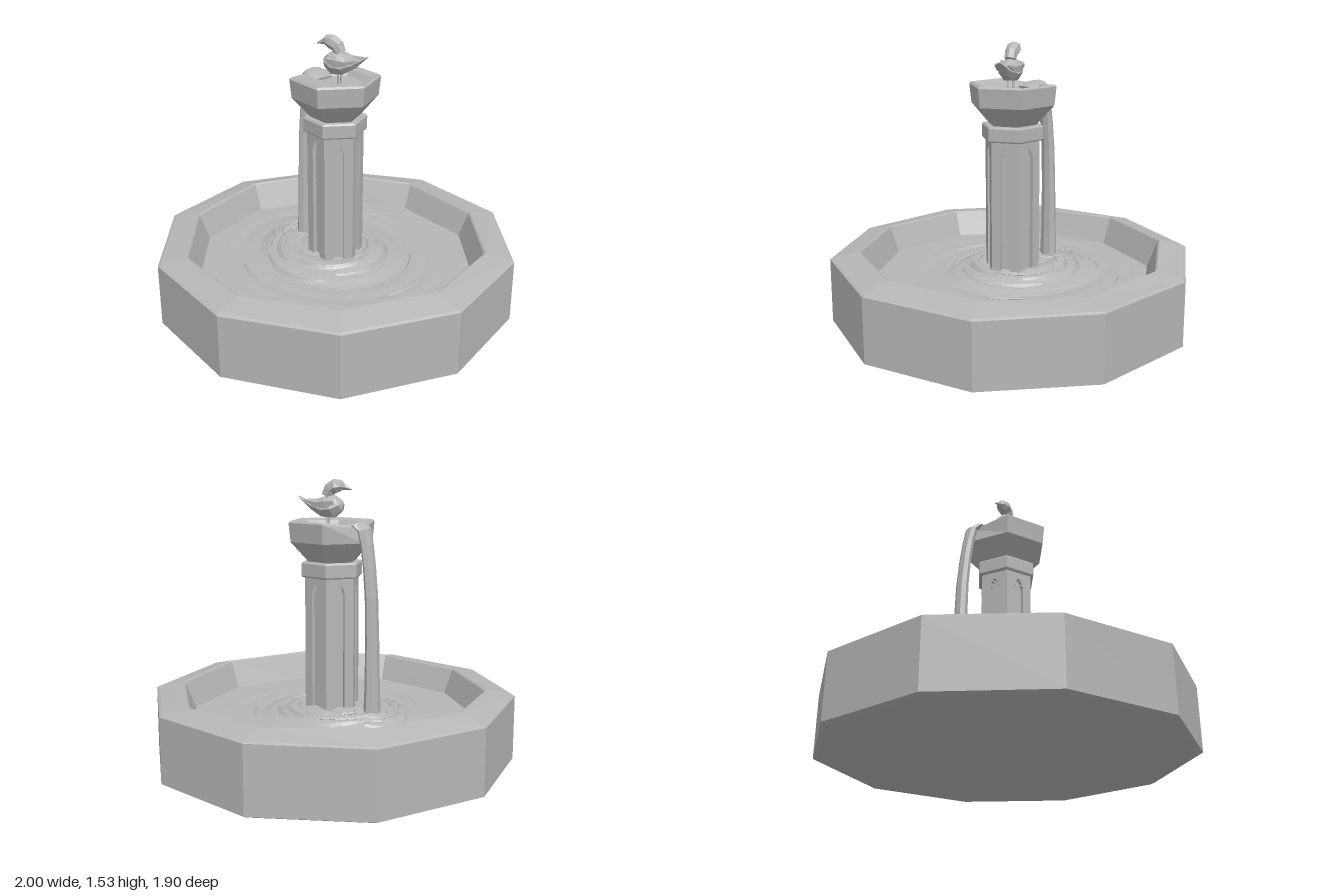
import * as THREE from 'three';

const stone = new THREE.MeshStandardMaterial({ color: 0xb6b6b6 });
stone.name = 'grey stone';

// Facet a geometry and turn it into a named mesh
function part(name, geo, parent) {
  const g = geo.index ? geo.toNonIndexed() : geo;
  g.computeVertexNormals();
  const m = new THREE.Mesh(g, stone);
  m.name = name;
  parent.add(m);
  return m;
}

// Join equal-sized rings of points into a skin
function loft(rings, caps = true) {
  const n = rings[0].length, pos = [], idx = [];
  rings.flat().forEach(p => pos.push(p.x, p.y, p.z));
  for (let i = 0; i < rings.length - 1; i++) {
    for (let j = 0; j < n; j++) {
      const k = (j + 1) % n, a = i * n, b = a + n;
      idx.push(a + j, a + k, b + k, a + j, b + k, b + j);
    }
  }
  if (caps) {
    const e = (rings.length - 1) * n;
    for (let j = 1; j < n - 1; j++) idx.push(0, j + 1, j, e, e + j, e + j + 1);
  }
  const g = new THREE.BufferGeometry();
  g.setAttribute('position', new THREE.Float32BufferAttribute(pos, 3));
  g.setIndex(idx);
  return g;
}

// Tapering body along a spine in the xy plane: [x, y, half thickness, half width]
function spineBody(spine, sides) {
  return loft(spine.map(([x, y, t, w], i) => {
    const p = spine[Math.max(0, i - 1)], q = spine[Math.min(spine.length - 1, i + 1)];
    const d = new THREE.Vector2(q[0] - p[0], q[1] - p[1]).normalize();
    return Array.from({ length: sides }, (_, j) => {
      const a = (j / sides) * Math.PI * 2, c = Math.cos(a) * t;
      return new THREE.Vector3(x - d.y * c, y + d.x * c, Math.sin(a) * w);
    });
  }));
}

// Faceted solid of revolution with a corner on the x axis
function turned(profile, sides) {
  const g = new THREE.LatheGeometry(profile.map(p => new THREE.Vector2(...p)), sides);
  return g.rotateY(Math.PI / 2);
}

function movePoints(geo, rule) {
  const p = geo.attributes.position, v = new THREE.Vector3();
  for (let i = 0; i < p.count; i++) {
    rule(v.fromBufferAttribute(p, i));
    p.setXYZ(i, v.x, v.y, v.z);
  }
  return geo;
}

// Hexagon outline with a slot of the given width in every side
function flutedHexagon(radius, slot, depth) {
  const pts = [], apothem = radius * Math.cos(Math.PI / 6);
  for (let i = 0; i < 6; i++) {
    const a = (i * Math.PI) / 3, m = a + Math.PI / 6;
    const at = (r, s) => new THREE.Vector2(r * Math.cos(m) - s * Math.sin(m), r * Math.sin(m) + s * Math.cos(m));
    pts.push(new THREE.Vector2(radius * Math.cos(a), radius * Math.sin(a)));
    if (slot) {
      pts.push(at(apothem, -slot / 2), at(apothem - depth, -slot / 2),
        at(apothem - depth, slot / 2), at(apothem, slot / 2));
    }
  }
  return new THREE.Shape(pts);
}

// Water level, swelling toward the column and the falling stream
function waterLevel(x, z) {
  const e = Math.hypot((x + 0.08) / 0.42, z / 0.36), a = Math.atan2(z, x + 0.08);
  const swell = 0.05 * (1 - THREE.MathUtils.smoothstep(e, 0.55, 1.2));
  const wave = 0.007 * Math.sin(e * 21 + a) * Math.max(0, 1 - e / 1.9);
  return 0.25 + swell + wave;
}

export function createModel() {
  const root = new THREE.Group();
  root.name = 'fountain';

  // Ten-sided basin with a slightly worn rim
  const basin = turned([[0, 0], [0.975, 0], [1, 0.012], [0.999, 0.362], [0.985, 0.37],
    [0.845, 0.4], [0.835, 0.393], [0.765, 0.22]], 10);
  movePoints(basin, v => {
    const a = Math.atan2(v.z, v.x);
    if (v.y > 0.38) v.y += 0.009 * Math.sin(a * 2 + 0.8);
    else if (v.y > 0.3) v.y += 0.004 * Math.sin(a * 3);
  });
  part('basin', basin, root);

  // Rippled pool
  const rings = [];
  for (let i = 0; i <= 26; i++) {
    const t = 0.03 + 0.97 * (i / 26);
    rings.push(Array.from({ length: 40 }, (_, j) => {
      const a = (j / 40) * Math.PI * 2, step = Math.PI / 5;
      const edge = 0.785 * Math.cos(step / 2) / Math.cos((a % step) - step / 2);
      const x = -0.08 * (1 - t) + Math.cos(a) * edge * t, z = Math.sin(a) * edge * t;
      return new THREE.Vector3(x, waterLevel(x, z), z);
    }));
  }
  part('poolWater', loft(rings, false), root);

  // Broken crescent ripples: [centre x, radius, start angle, arc]
  const ripples = new THREE.Group();
  ripples.name = 'ripples';
  root.add(ripples);
  const arcs = [[-0.28, 0.09, 0.3, 4.8], [-0.28, 0.14, 1.2, 3.6], [-0.28, 0.19, 2.1, 2.2]];
  for (let i = 0; i < 16; i++) arcs.push([-0.04, 0.2 + 0.022 * (i % 8) + 0.012 * Math.floor(i / 8), i * 2.4, 0.8 + 0.5 * ((i * 7) % 3)]);
  for (let i = 0; i < 5; i++) arcs.push([-0.02, 0.44 + 0.035 * i, i * 1.9 + 0.5, 0.4]);
  arcs.forEach(([cx, r, start, arc]) => {
    const g = new THREE.TorusGeometry(r, 0.009, 4, 10, arc).rotateX(-Math.PI / 2).rotateY(start);
    movePoints(g, v => {
      v.x += cx;
      v.y = v.y * 0.8 + waterLevel(v.x, v.z) + 0.001;
    });
    part('ripple', g, ripples);
  });

  // Fluted column, the slots narrowing to an arch: [bottom, top, slot width]
  const column = new THREE.Group();
  column.name = 'column';
  root.add(column);
  [[0.2, 0.93, 0.054], [0.93, 0.955, 0.038], [0.955, 0.97, 0.02], [0.97, 1.015, 0]].forEach(([y0, y1, slot]) => {
    const g = new THREE.ExtrudeGeometry(flutedHexagon(0.153, slot, 0.022), { depth: y1 - y0, bevelEnabled: false });
    part('columnShaft', g.rotateX(-Math.PI / 2).translate(0, y0, 0), column);
  });
  part('collar', turned([[0, 1.01], [0.166, 1.01], [0.172, 1.018], [0.172, 1.084], [0.164, 1.093], [0, 1.093]], 6), root);

  // Upper bowl, with the rim broken low where the water spills
  const bowl = turned([[0, 1.088], [0.13, 1.088], [0.232, 1.2], [0.243, 1.302], [0.232, 1.312],
    [0.185, 1.3], [0.16, 1.27], [0, 1.27]], 6);
  movePoints(bowl, v => {
    if (v.x < -0.17 && v.y > 1.28) {
      v.x *= 0.9;
      v.y -= 0.025;
    }
  });
  part('upperBowl', bowl, root);

  // Water pouring over the rim into the pool
  part('fallingWater', spineBody([[-0.09, 1.278, 0.008, 0.05], [-0.15, 1.293, 0.012, 0.065],
    [-0.2, 1.293, 0.02, 0.06], [-0.228, 1.267, 0.028, 0.05], [-0.245, 1.19, 0.028, 0.043],
    [-0.262, 1.08, 0.028, 0.042], [-0.277, 0.92, 0.03, 0.042], [-0.284, 0.7, 0.032, 0.044],
    [-0.287, 0.45, 0.036, 0.047], [-0.287, 0.25, 0.042, 0.055]], 8), root);

  // Small bird on the bowl, turned a little to the front
  const bird = new THREE.Group();
  bird.name = 'bird';
  bird.rotation.y = 0.42;
  root.add(bird);
  part('birdBody', spineBody([[-0.055, 1.41, 0.02, 0.02], [-0.042, 1.4, 0.045, 0.045], [0, 1.386, 0.068, 0.062],
    [0.05, 1.38, 0.055, 0.06], [0.105, 1.392, 0.03, 0.036], [0.15, 1.412, 0.01, 0.028], [0.188, 1.436, 0.003, 0.01]], 7), bird);
  part('birdHead', spineBody([[-0.07, 1.487, 0.012, 0.013], [-0.052, 1.495, 0.029, 0.028], [-0.02, 1.492, 0.039, 0.04],
    [0.012, 1.475, 0.036, 0.036], [0.03, 1.44, 0.03, 0.032]], 7), bird);
  part('birdBeak', spineBody([[-0.11, 1.474, 0.002, 0.002], [-0.085, 1.483, 0.011, 0.009], [-0.045, 1.494, 0.024, 0.02]], 4), bird);
  [-1, 1].forEach(side => {
    // Folded wing and leg
    const wing = spineBody([[-0.02, 1.41, 0.016, 0.01], [0.03, 1.402, 0.034, 0.016],
      [0.08, 1.4, 0.022, 0.012], [0.15, 1.42, 0.003, 0.003]], 5);
    const w = part('birdWing', wing, bird);
    w.position.z = side * 0.052;
    w.rotation.y = side * 0.1;
    const leg = part('birdLeg', new THREE.CylinderGeometry(0.005, 0.006, 0.08, 5), bird);
    leg.position.set(0.025, 1.3, side * 0.018);
  });

  return root;
}
